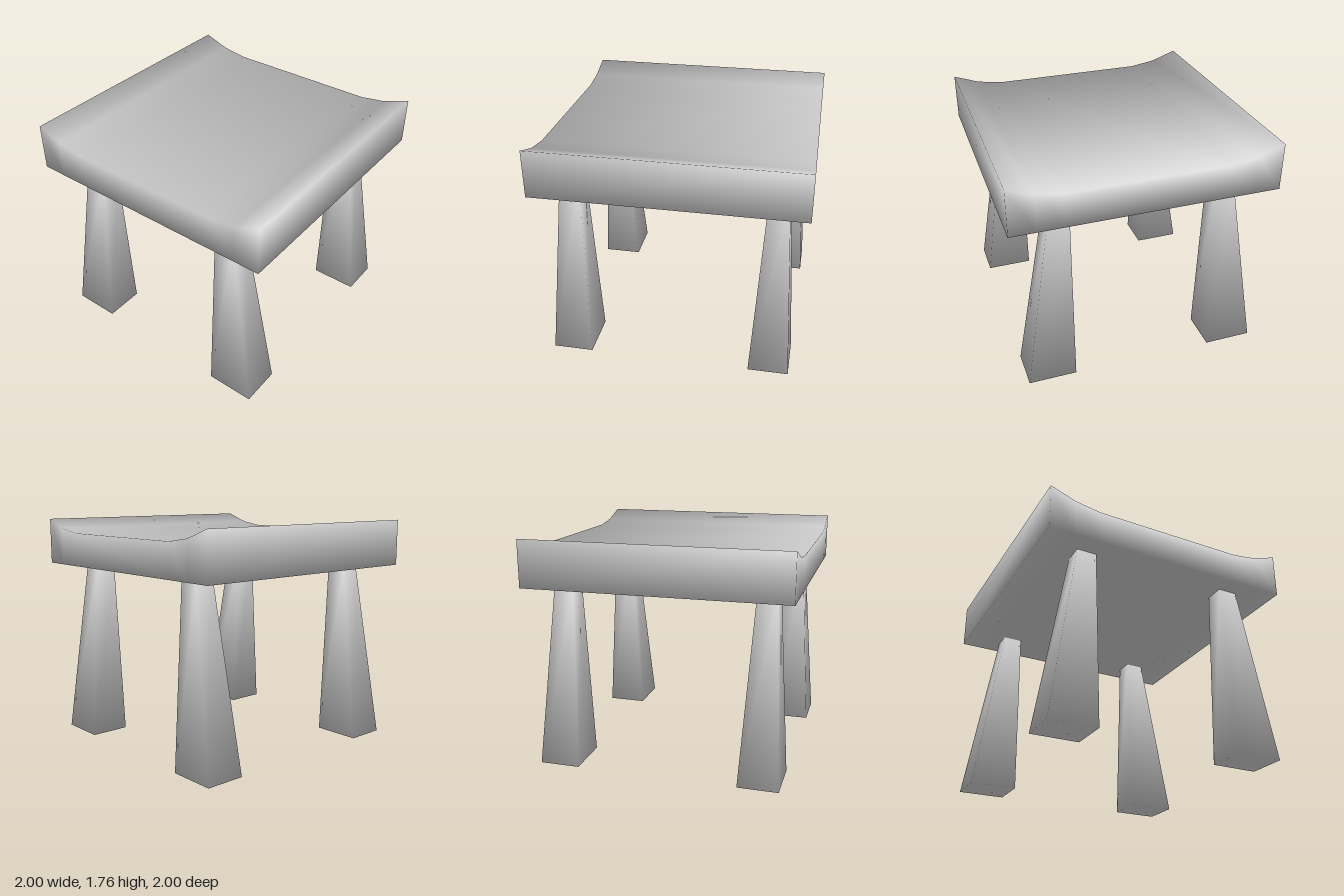
import * as THREE from 'three';

// Angle-weighted normals over shared vertices, so every edge shades softly
function softNormals(geo) {
  const pos = geo.attributes.position, idx = geo.index.array;
  const normals = Array.from({ length: pos.count }, () => new THREE.Vector3());
  const p = [0, 1, 2].map(() => new THREE.Vector3());
  for (let t = 0; t < idx.length; t += 3) {
    p.forEach((v, k) => v.fromBufferAttribute(pos, idx[t + k]));
    const face = p[1].clone().sub(p[0]).cross(p[2].clone().sub(p[0])).normalize();
    for (let k = 0; k < 3; k++) {
      const u = p[(k + 1) % 3].clone().sub(p[k]);
      const w = p[(k + 2) % 3].clone().sub(p[k]);
      normals[idx[t + k]].addScaledVector(face, u.angleTo(w));
    }
  }
  const flat = normals.flatMap((n) => n.normalize().toArray());
  geo.setAttribute('normal', new THREE.Float32BufferAttribute(flat, 3));
}

// Closed solid through a row of four-cornered sections
function loft(rings) {
  const index = [];
  const quad = (a, b, c, d) => index.push(a, b, c, a, c, d);
  for (let r = 0; r < rings.length - 1; r++) {
    for (let i = 0; i < 4; i++) {
      const j = (i + 1) % 4, a = r * 4, b = a + 4;
      quad(a + i, a + j, b + j, b + i);
    }
  }
  const e = (rings.length - 1) * 4;
  quad(3, 2, 1, 0);
  quad(e, e + 1, e + 2, e + 3);
  const geo = new THREE.BufferGeometry();
  geo.setAttribute('position', new THREE.Float32BufferAttribute(rings.flat(2), 3));
  geo.setIndex(index);
  softNormals(geo);
  return geo;
}

export function createModel() {
  const group = new THREE.Group();
  const material = new THREE.MeshStandardMaterial({ color: 0xcccccc });
  const add = (name, geo) => {
    const mesh = new THREE.Mesh(geo, material);
    mesh.name = name;
    group.add(mesh);
  };

  // Seat: flat underside, top curving up towards both sides
  const base = 1.4;
  const profile = [[-1, 1.76], [-0.8, 1.69], [-0.6, 1.66], [0.6, 1.66], [0.8, 1.69], [1, 1.76]];
  add('seat', loft(profile.map(([x, y]) => [[x, base, 1], [x, base, -1], [x, y, -1], [x, y, 1]])));

  // Legs: square tapered posts, upright on the inside and splayed outwards
  const section = (y, x0, x1, z0, z1) => [[x0, y, z0], [x0, y, z1], [x1, y, z1], [x1, y, z0]];
  for (const side of [1, -1]) {
    const bottomX = side > 0 ? [0.54, 0.91] : [-0.93, -0.56];
    const topX = side > 0 ? [0.535, 0.69] : [-0.71, -0.555];
    for (const end of [1, -1]) {
      const shift = side * 0.007;
      const spanZ = (a, b) => [end * a + shift, end * b + shift].sort((m, n) => m - n);
      const name = (end > 0 ? 'front' : 'back') + (side > 0 ? 'Left' : 'Right') + 'Leg';
      add(name, loft([
        section(0, ...bottomX, ...spanZ(0.622, 0.932)),
        section(base, ...topX, ...spanZ(0.7, 0.85)),
      ]));
    }
  }
  return group;
}
